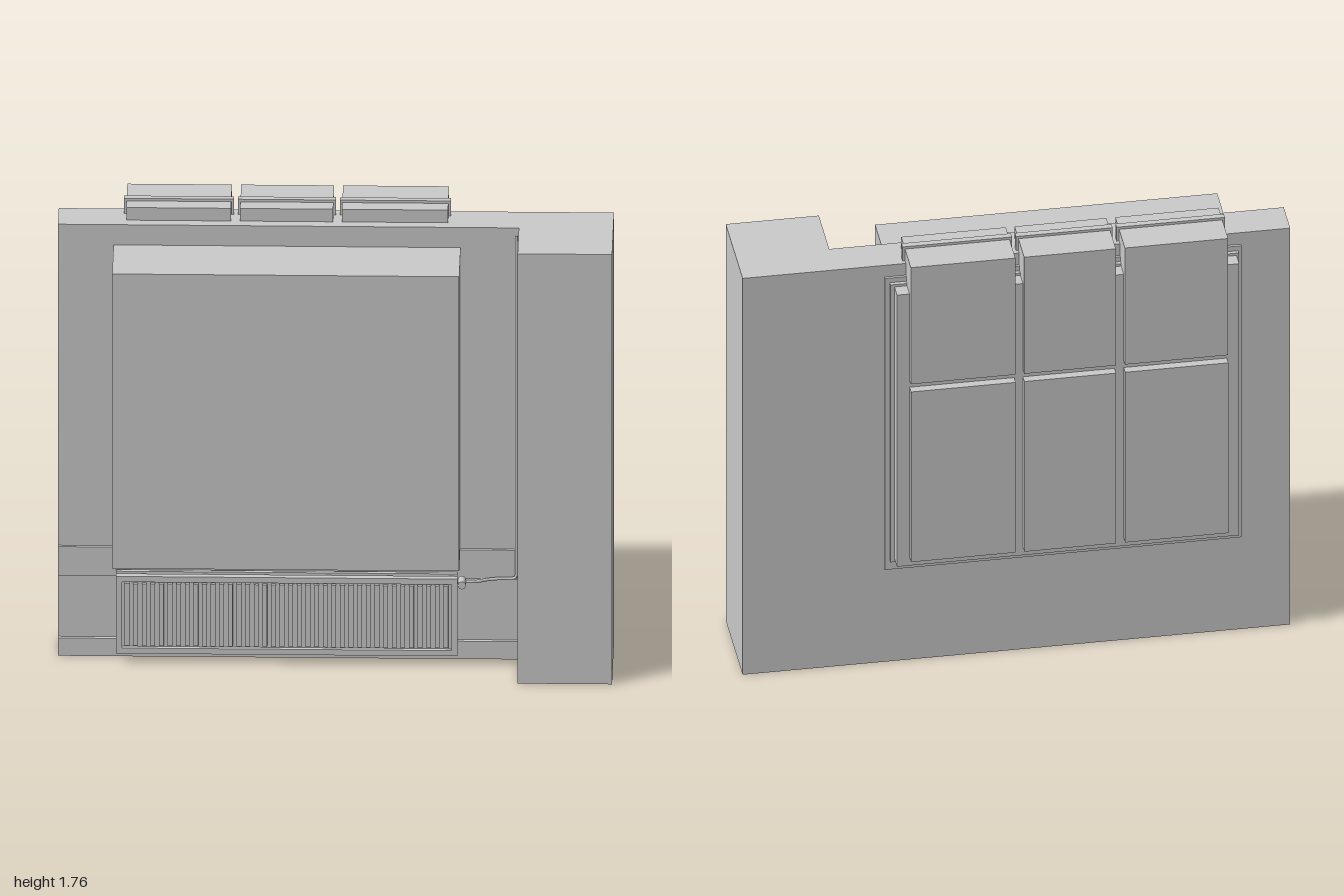
import * as THREE from 'three';

const grey = new THREE.MeshStandardMaterial({ color: 0xcccccc });

function add(parent, name, geometry) {
  const mesh = new THREE.Mesh(geometry, grey);
  mesh.name = name;
  parent.add(mesh);
  return mesh;
}

// Box given by its minimum and maximum on each axis
function box(parent, name, [x0, x1], [y0, y1], [z0, z1]) {
  const mesh = add(parent, name, new THREE.BoxGeometry(x1 - x0, y1 - y0, z1 - z0));
  mesh.position.set((x0 + x1) / 2, (y0 + y1) / 2, (z0 + z1) / 2);
  return mesh;
}

// Flat rectangular frame facing z
function frame(parent, name, [x0, x1], [y0, y1], [z0, z1], border) {
  const rect = (b) => [[x0 + b, y0 + b], [x1 - b, y0 + b], [x1 - b, y1 - b], [x0 + b, y1 - b]]
    .map(([x, y]) => new THREE.Vector2(x, y));
  const shape = new THREE.Shape(rect(0));
  shape.holes.push(new THREE.Path(rect(border)));
  const geometry = new THREE.ExtrudeGeometry(shape, { depth: z1 - z0, bevelEnabled: false });
  add(parent, name, geometry).position.z = z0;
}

function buildRadiator() {
  const radiator = new THREE.Group();
  radiator.name = 'radiator';
  frame(radiator, 'radiatorRim', [-0.79, 0.44], [0.04, 0.345], [0.055, 0.08], 0.022);
  box(radiator, 'frontPanel', [-0.785, 0.435], [0.045, 0.34], [0.05, 0.064]);
  box(radiator, 'core', [-0.78, 0.43], [0.05, 0.335], [0.035, 0.05]);
  box(radiator, 'backPanel', [-0.79, 0.44], [0.04, 0.345], [0.02, 0.035]);
  // Vertical ribs
  const count = 38, pitch = 1.18 / count;
  for (let i = 0; i < count; i++) {
    const x = -0.765 + i * pitch;
    box(radiator, 'rib', [x + 0.006, x + pitch - 0.008], [0.07, 0.315], [0.06, 0.077]);
  }
  // Valve and supply pipe
  const valve = add(radiator, 'valve', new THREE.CylinderGeometry(0.015, 0.015, 0.05, 16));
  valve.rotation.x = Math.PI / 2;
  valve.position.set(0.456, 0.322, 0.06);
  const path = new THREE.CurvePath();
  const points = [[0.43, 0.322, 0.05], [0.51, 0.322, 0.047], [0.55, 0.322, 0.03], [0.6, 0.322, 0.02],
    [0.635, 0.322, 0.02], [0.652, 0.339, 0.02], [0.652, 1.68, 0.02]]
    .map((p) => new THREE.Vector3(...p));
  path.add(new THREE.CatmullRomCurve3(points.slice(0, 5)));
  path.add(new THREE.QuadraticBezierCurve3(points[4], new THREE.Vector3(0.652, 0.322, 0.02), points[5]));
  path.add(new THREE.LineCurve3(points[5], points[6]));
  add(radiator, 'pipe', new THREE.TubeGeometry(path, 120, 0.006, 8));
  return radiator;
}

function buildCushions() {
  const cushions = new THREE.Group();
  cushions.name = 'rearPanels';
  for (const [x0, x1] of [[-0.755, -0.378], [-0.345, -0.01], [0.022, 0.404]]) {
    box(cushions, 'lowerPanel', [x0, x1], [0.49, 1.22], [-0.252, -0.2]);
    // Upper panel folds over the top of the wall
    const profile = [[0.247, 1.25], [0.247, 1.75], [0.04, 1.75], [0.04, 1.7], [0.135, 1.7],
      [0.135, 1.61], [0.2, 1.61], [0.2, 1.25]].map(([z, y]) => new THREE.Vector2(z, y));
    const geometry = new THREE.ExtrudeGeometry(new THREE.Shape(profile), { depth: x1 - x0, bevelEnabled: false });
    geometry.rotateY(Math.PI / 2);
    geometry.scale(1, 1, 1);
    add(cushions, 'upperPanel', geometry.translate(x0, 0, 0));
    box(cushions, 'topStrap', [x0 - 0.009, x1 + 0.009], [1.7, 1.76], [-0.122, -0.098]);
  }
  return cushions;
}

export function createModel() {
  const model = new THREE.Group();
  model.name = 'wallSection';

  // Wall with a pier, extruded upward from its L-shaped footprint
  const footprint = [[-1, 0.14], [-1, 0], [0.66, 0], [0.66, -0.225], [1, -0.225], [1, 0.14]]
    .map(([x, y]) => new THREE.Vector2(x, y));
  const wall = new THREE.ExtrudeGeometry(new THREE.Shape(footprint), { depth: 1.7, bevelEnabled: false });
  add(model, 'wall', wall.rotateX(-Math.PI / 2));

  // Room side
  box(model, 'skirting', [-1, 0.66], [0, 0.07], [-0.01, 0.015]);
  box(model, 'wallRail', [-1, 0.66], [0.315, 0.43], [-0.01, 0.012]);
  box(model, 'frontCabinet', [-0.8, 0.45], [0.455, 1.62], [-0.01, 0.253]);
  model.add(buildRadiator());

  // Stepped surround and box on the rear
  box(model, 'outerSurround', [-0.82, 0.482], [0.4, 1.65], [-0.15, -0.13]);
  box(model, 'innerSurround', [-0.808, 0.464], [0.44, 1.63], [-0.165, -0.13]);
  box(model, 'rearBox', [-0.8, 0.45], [0.455, 1.62], [-0.22, -0.13]);
  model.add(buildCushions());
  return model;
}
